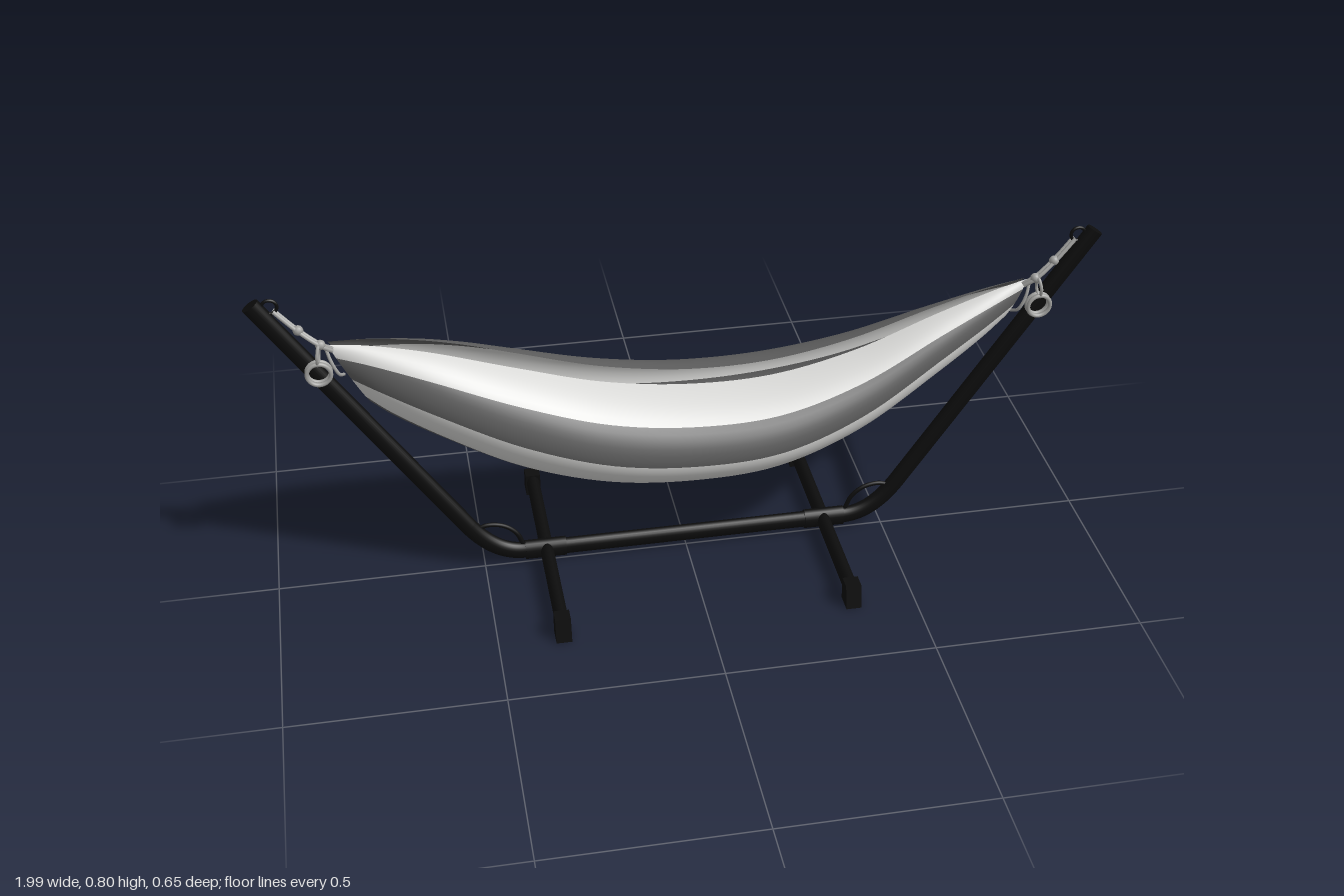
import * as THREE from 'three';

const V = (x, y, z = 0) => new THREE.Vector3(x, y, z);
const paint = (name, color, side = THREE.FrontSide) => {
  const m = new THREE.MeshStandardMaterial({ color, side });
  m.name = name;
  return m;
};

export function createModel() {
  const model = new THREE.Group();
  model.name = 'hammockWithStand';
  const black = paint('blackSteel', 0x0c0c0c);
  const rope = paint('ropeGrey', 0xa2a2a0);
  const light = paint('lightFabric', 0xd9d9d7, THREE.DoubleSide);
  const dark = paint('darkFabric', 0x606060, THREE.DoubleSide);

  const add = (parent, name, geo, mat) => {
    const mesh = new THREE.Mesh(geo, mat);
    mesh.name = name;
    parent.add(mesh);
    return mesh;
  };
  // Straight capped rod between two points
  const rod = (parent, name, a, b, r, mat, sides = 24) => {
    const mesh = add(parent, name, new THREE.CylinderGeometry(r, r, a.distanceTo(b), sides), mat);
    mesh.position.copy(a).add(b).multiplyScalar(0.5);
    mesh.quaternion.setFromUnitVectors(V(0, 1), b.clone().sub(a).normalize());
    return mesh;
  };
  const cord = (parent, name, pts, r, mat, closed = false) =>
    add(parent, name, new THREE.TubeGeometry(new THREE.CatmullRomCurve3(pts, closed), 36, r, 8, closed), mat);

  // Frame of oval tube, flatter front to back
  const frame = new THREE.Group();
  frame.name = 'frame';
  frame.scale.z = 0.74;
  model.add(frame);
  const R = 0.0215;
  rod(frame, 'baseTube', V(-0.4, 0.036), V(0.4, 0.036), R, black);
  for (const s of [-1, 1]) {
    rod(frame, 'post', V(s * 0.535, 0.127), V(s * 0.978, 0.79), R, black);
    const bend = new THREE.QuadraticBezierCurve3(V(s * 0.4, 0.036), V(s * 0.474, 0.036), V(s * 0.535, 0.127));
    add(frame, 'bend', new THREE.TubeGeometry(bend, 20, R, 24), black);
    rod(frame, 'sleeve', V(s * 0.3, 0.036), V(s * 0.4, 0.036), 0.0255, black);
    cord(frame, 'braceHandle', [V(s * 0.525, 0.108), V(s * 0.49, 0.122), V(s * 0.45, 0.115),
      V(s * 0.42, 0.09), V(s * 0.403, 0.05)], 0.006, black);
  }

  // Cross bars with flared feet
  const footShape = new THREE.Shape();
  footShape.moveTo(0.277, 0);
  footShape.lineTo(0.325, 0);
  footShape.lineTo(0.312, 0.058);
  footShape.lineTo(0.277, 0.058);
  footShape.closePath();
  const footGeo = new THREE.ExtrudeGeometry(footShape, { depth: 0.037, bevelEnabled: false });
  footGeo.translate(0, 0, -0.0185);
  for (const s of [-1, 1]) {
    const bar = rod(model, 'crossBar', V(s * 0.348, 0.034, -0.3), V(s * 0.348, 0.034, 0.3), 0.022, black);
    bar.scale.x = 0.74;
    for (const f of [-1, 1]) {
      const foot = add(model, 'foot', footGeo, black);
      foot.position.x = s * 0.348;
      foot.rotation.y = -f * Math.PI / 2;
    }
  }

  // Fabric: stations of [top x, top y, half width, bottom x, bottom y]
  const stations = [
    [-0.82, 0.675, 0.018, -0.735, 0.51], [-0.74, 0.668, 0.05, -0.69, 0.475], [-0.6, 0.64, 0.1, -0.58, 0.41],
    [-0.4, 0.58, 0.15, -0.4, 0.32], [-0.2, 0.523, 0.179, -0.2, 0.265], [0, 0.495, 0.187, 0, 0.25],
    [0.2, 0.497, 0.18, 0.2, 0.265], [0.4, 0.538, 0.142, 0.4, 0.33], [0.6, 0.61, 0.085, 0.6, 0.45],
    [0.74, 0.655, 0.045, 0.71, 0.525], [0.82, 0.675, 0.018, 0.765, 0.568],
  ];
  const topLine = new THREE.CatmullRomCurve3(stations.map(s => V(s[0], s[1], s[2])));
  const bottomLine = new THREE.CatmullRomCurve3(stations.map(s => V(s[3], s[4])));
  const NU = 70, STRIPES = 8, PER = 6, NV = STRIPES * PER;
  const positions = [], index = [];
  const fabric = new THREE.BufferGeometry();
  for (let j = 0; j <= NV; j++) {
    const a = (j / NV * 2 - 1) * THREE.MathUtils.degToRad(170);
    const k = (1 - Math.cos(a)) / 2;
    for (let i = 0; i <= NU; i++) {
      const t = topLine.getPoint(i / NU), b = bottomLine.getPoint(i / NU);
      // back rim rides slightly higher toward the -x end
      const lift = a < 0 ? 0.012 * k * k * Math.max(0, 1 - Math.abs(t.x + 0.5) / 0.5) : 0;
      positions.push(b.x + (t.x - b.x) * k, b.y + (t.y - b.y) * k + lift, t.z * Math.sin(a));
    }
  }
  // Alternating lengthwise stripes, dark at the back rim
  for (let j = 0; j < NV; j++) {
    if (j % PER === 0) fabric.addGroup(index.length, PER * NU * 6, (j / PER) % 2);
    for (let i = 0; i < NU; i++) {
      const p = j * (NU + 1) + i, q = p + NU + 1;
      index.push(p, p + 1, q, p + 1, q + 1, q);
    }
  }
  // Outward faces: bottom faces point down
  fabric.setAttribute('position', new THREE.Float32BufferAttribute(positions, 3));
  fabric.setIndex(index);
  fabric.computeVertexNormals();
  const normals = fabric.attributes.normal;
  const mid = (NV / 2) * (NU + 1) + NU / 2;
  if (normals.getY(mid) > 0) {
    for (let i = 0; i < index.length; i += 3) [index[i], index[i + 1]] = [index[i + 1], index[i]];
    fabric.setIndex(index);
    fabric.computeVertexNormals();
  }
  add(model, 'hammockFabric', fabric, [dark, light]);

  // Hanging ropes, hooks and rings at both ends
  for (const s of [-1, 1]) {
    const hanger = new THREE.Group();
    hanger.name = 'hanger';
    model.add(hanger);
    const hook = add(hanger, 'hookRing', new THREE.TorusGeometry(0.017, 0.004, 8, 24), black);
    hook.position.set(s * 0.937, 0.782, 0);
    for (const d of [-0.005, 0.005]) {
      cord(hanger, 'ropeStrand', [V(s * 0.93, 0.772, d), V(s * 0.88, 0.722, 0.012 + d),
        V(s * 0.835, 0.685, 0.02 + d), V(s * 0.81, 0.665, 0.012 + d)], 0.005, rope);
    }
    for (const [x, y, z] of [[0.88, 0.723, 0.012], [0.835, 0.685, 0.02]]) {
      const knot = add(hanger, 'ropeKnot', new THREE.SphereGeometry(0.012, 12, 8), rope);
      knot.position.set(s * x, y, z);
    }
    // Dangling rope coil
    for (const z of [0.025, 0.038]) {
      const ring = add(hanger, 'ropeCoil', new THREE.TorusGeometry(0.027, 0.005, 8, 28), rope);
      ring.position.set(s * 0.845, 0.618, z);
    }
    cord(hanger, 'ropeLoop', [V(s * 0.84, 0.687, 0.03), V(s * 0.845, 0.665, 0.042),
      V(s * 0.845, 0.64, 0.034), V(s * 0.84, 0.662, 0.02)], 0.004, rope, true);
    // Cord gathering the fabric end
    cord(hanger, 'gatherCord', [V(s * 0.825, 0.675, 0.012), V(s * 0.815, 0.64, 0.024),
      V(s * 0.8, 0.605, 0.022), V(s * 0.79, 0.59, 0)], 0.004, rope);
  }
  return model;
}
